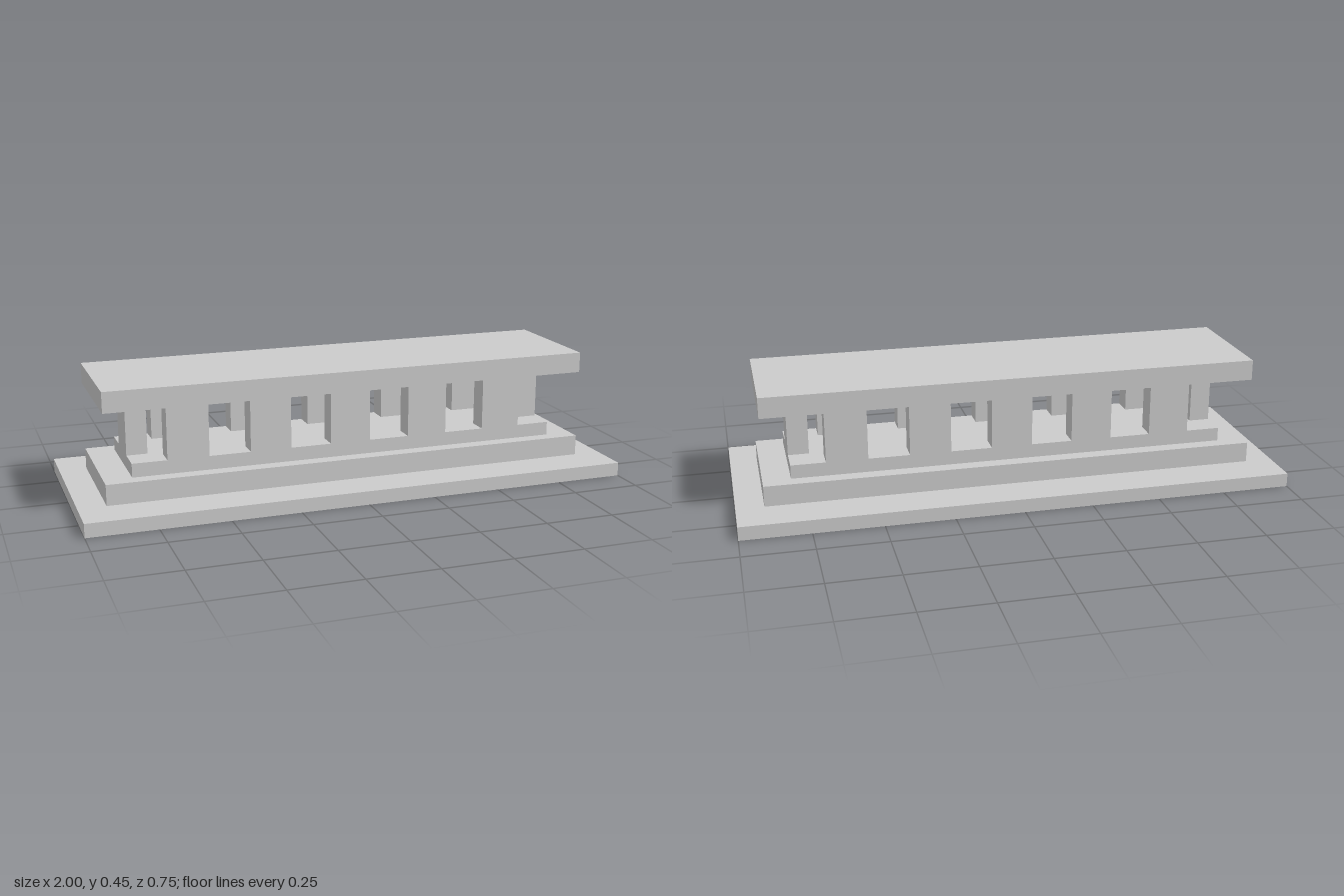
import * as THREE from 'three';

const material = new THREE.MeshStandardMaterial({ color: 0xcccccc, flatShading: true });

// Box given by its size, its bottom height and its centre in plan
function block(name, w, h, d, bottom, x = 0, z = 0) {
  const mesh = new THREE.Mesh(new THREE.BoxGeometry(w, h, d), material);
  mesh.name = name;
  mesh.position.set(x, bottom + h / 2, z);
  return mesh;
}

export function createModel() {
  const model = new THREE.Group();
  model.name = 'colonnade';

  // Stepped base
  model.add(
    block('baseSlab', 2, 0.05, 0.75, 0),
    block('middleStep', 1.8, 0.075, 0.45, 0.05),
    block('plinth', 1.6, 0.05, 0.35, 0.125)
  );

  // Pillars: five along each long side, one at each end
  const pillars = new THREE.Group();
  pillars.name = 'pillars';
  for (const side of [-1, 1]) {
    for (let i = -2; i <= 2; i++) {
      pillars.add(block(side > 0 ? 'frontPillar' : 'backPillar', 0.15, 0.2, 0.075, 0.175, i * 0.3, side * 0.1375));
    }
    pillars.add(block(side > 0 ? 'leftEndPillar' : 'rightEndPillar', 0.075, 0.2, 0.15, 0.175, side * 0.7625, 0));
  }
  model.add(pillars);

  // Flat roof
  model.add(block('roofSlab', 1.8, 0.075, 0.45, 0.375));
  return model;
}
